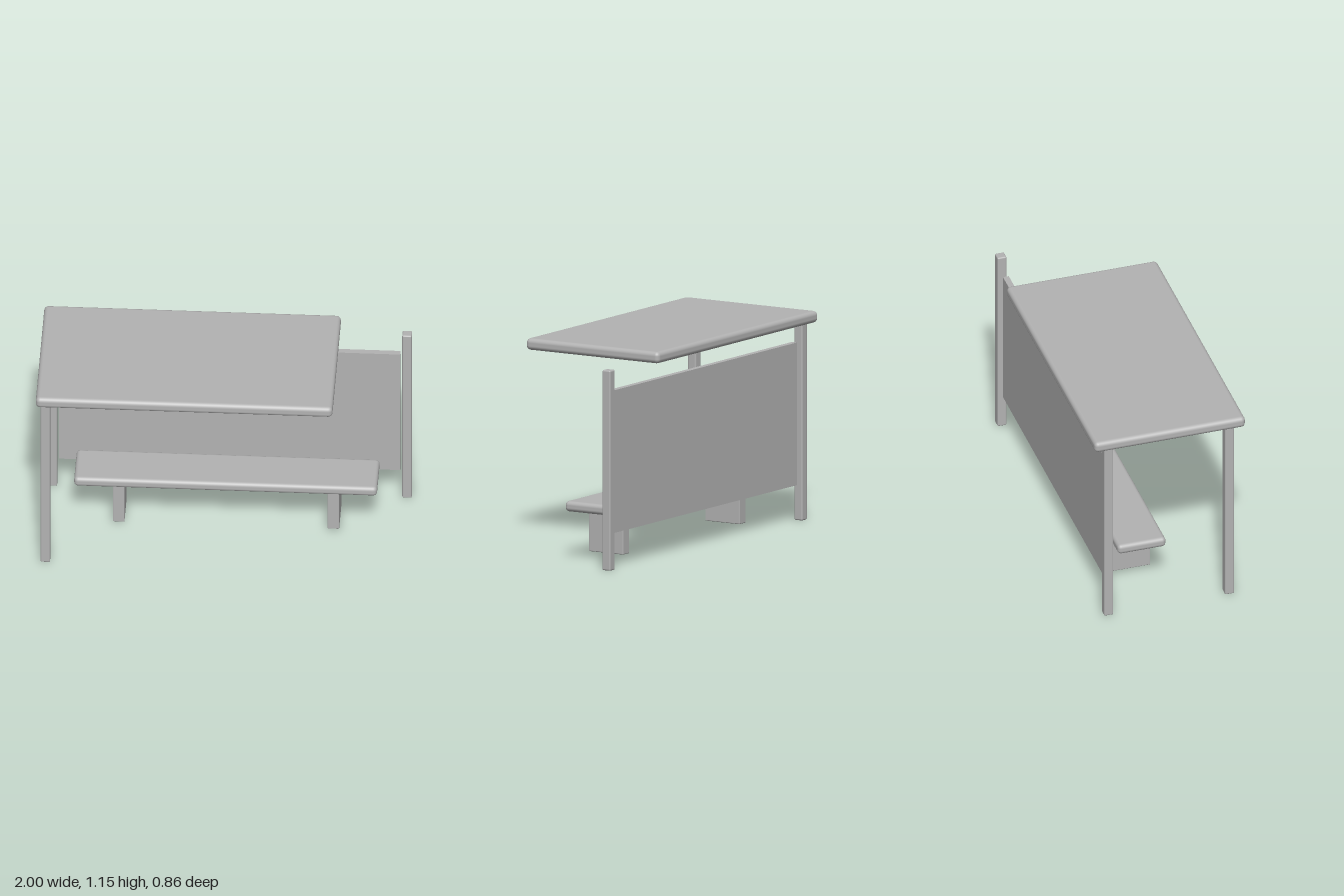
import * as THREE from 'three';
import { RoundedBoxGeometry } from 'three/addons/geometries/RoundedBoxGeometry.js';

export function createModel() {
  const model = new THREE.Group();
  model.name = 'benchShelter';
  const grey = new THREE.MeshStandardMaterial({ color: 0xb3b3b3 });
  grey.name = 'plainGrey';

  // Block given by its min and max corner; radius 0 gives sharp edges
  function block(name, [x0, y0, z0], [x1, y1, z1], radius = 0) {
    const size = [x1 - x0, y1 - y0, z1 - z0];
    const geometry = radius > 0
      ? new RoundedBoxGeometry(...size, 3, radius)
      : new THREE.BoxGeometry(...size);
    const mesh = new THREE.Mesh(geometry, grey);
    mesh.name = name;
    mesh.position.set((x0 + x1) / 2, (y0 + y1) / 2, (z0 + z1) / 2);
    model.add(mesh);
  }

  // Roof slab with softened edges
  block('roof', [-1, 1.086, -0.428], [0.61, 1.15, 0.428], 0.024);

  // Three posts: two under the roof, one standing free at the back
  const posts = [
    ['frontPost', -0.951, 0.343],
    ['backPost', -0.951, -0.343],
    ['freePost', 0.973, -0.343],
  ];
  for (const [name, x, z] of posts) {
    block(name, [x - 0.026, 0, z - 0.026], [x + 0.026, 1.1, z + 0.026], 0.008);
  }

  // Back panel
  block('backPanel', [-0.915, 0.195, -0.342], [0.937, 0.979, -0.309]);

  // Bench seat and its two slab legs
  block('benchSeat', [-0.814, 0.266, -0.238], [0.83, 0.323, 0.035], 0.022);
  for (const [name, x] of [['rightBenchLeg', -0.573], ['leftBenchLeg', 0.592]]) {
    block(name, [x - 0.032, 0.021, -0.212], [x + 0.032, 0.29, 0.01], 0.005);
  }

  return model;
}
